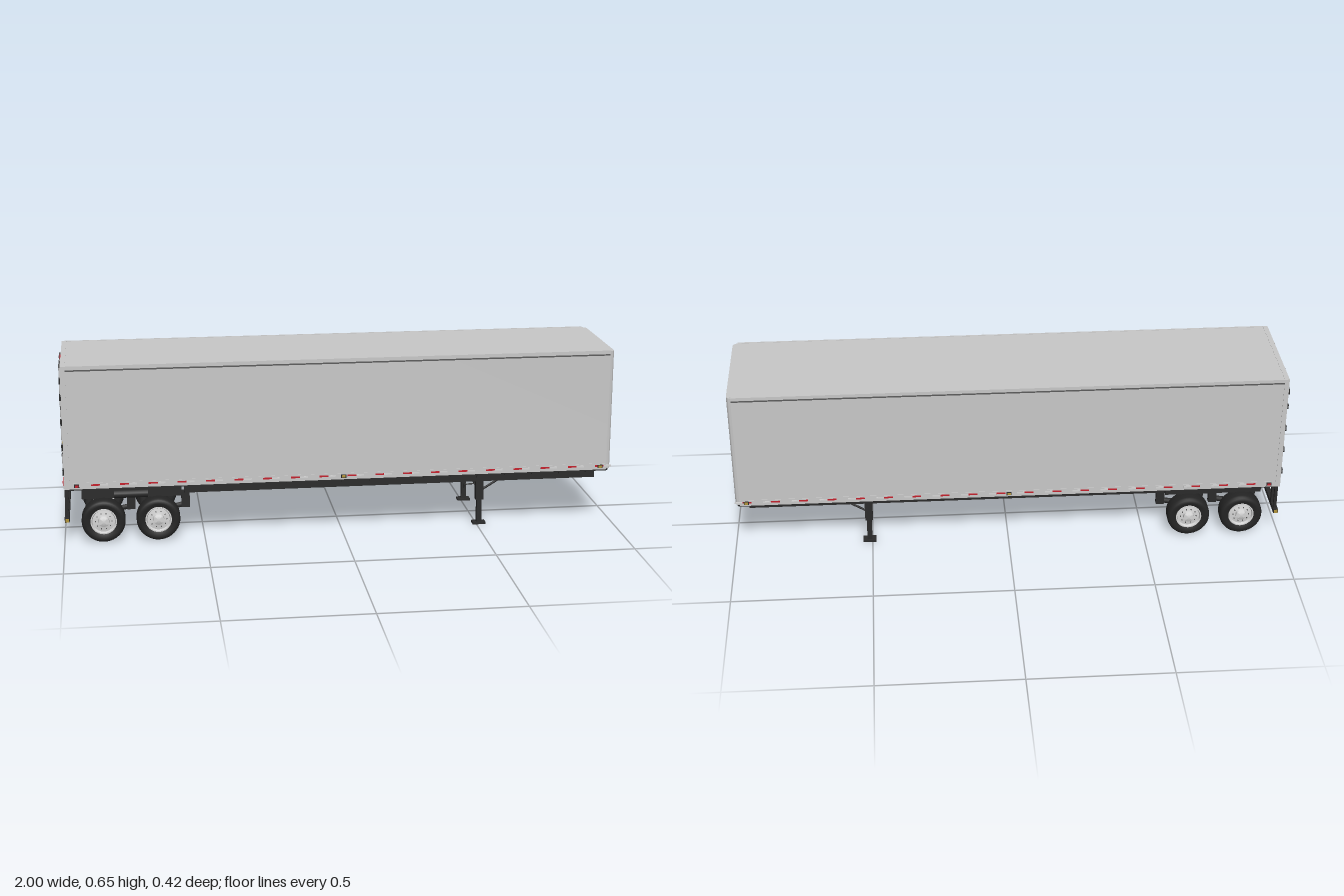
import * as THREE from 'three';
import { toCreasedNormals } from 'three/addons/utils/BufferGeometryUtils.js';

const material = (name, color) => {
  const m = new THREE.MeshStandardMaterial({ color });
  m.name = name;
  return m;
};

export function createModel() {
  const shell = material('light grey panel', 0xc8c8c8);
  const seam = material('dark grey seam', 0x5c5c5c);
  const steel = material('black steel', 0x2b2b2b);
  const rubber = material('tyre rubber', 0x242424);
  const alloy = material('bright alloy', 0xd6d6d6);
  const red = material('red reflector', 0xc4202c);
  const amber = material('amber marker', 0xb0933a);

  const model = new THREE.Group();
  model.name = 'boxTrailer';

  const group = (name, parent = model) => {
    const g = new THREE.Group();
    g.name = name;
    parent.add(g);
    return g;
  };
  const add = (parent, name, geometry, mat) => {
    const mesh = new THREE.Mesh(geometry, mat);
    mesh.name = name;
    parent.add(mesh);
    return mesh;
  };
  // Box given by its limits on each axis
  const box = (parent, name, mat, x0, x1, y0, y1, z0, z1) => {
    const mesh = add(parent, name, new THREE.BoxGeometry(x1 - x0, y1 - y0, z1 - z0), mat);
    mesh.position.set((x0 + x1) / 2, (y0 + y1) / 2, (z0 + z1) / 2);
    return mesh;
  };
  // Box mirrored to both sides, with z0 < z1 on the +z side
  const pair = (parent, name, mat, x0, x1, y0, y1, z0, z1) => {
    box(parent, name, mat, x0, x1, y0, y1, z0, z1);
    box(parent, name, mat, x0, x1, y0, y1, -z1, -z0);
  };
  // Round bar between two points
  const bar = (parent, name, mat, a, b, r, sides = 10) => {
    const from = new THREE.Vector3(...a), to = new THREE.Vector3(...b);
    const dir = to.clone().sub(from);
    const mesh = add(parent, name, new THREE.CylinderGeometry(r, r, dir.length(), sides), mat);
    mesh.position.copy(from).add(to).multiplyScalar(0.5);
    mesh.quaternion.setFromUnitVectors(new THREE.Vector3(0, 1, 0), dir.normalize());
    return mesh;
  };

  // Cargo box: plan outline with rounded nose corners, extruded upwards
  const cargo = group('cargoBox');
  const slab = (name, mat, x0, x1, w, r, y0, y1) => {
    const s = new THREE.Shape();
    s.moveTo(x0, -w);
    s.lineTo(x1 - r, -w);
    s.absarc(x1 - r, -w + r, r, -Math.PI / 2, 0, false);
    s.lineTo(x1, w - r);
    s.absarc(x1 - r, w - r, r, 0, Math.PI / 2, false);
    s.lineTo(x0, w);
    s.closePath();
    const g = new THREE.ExtrudeGeometry(s, { depth: y1 - y0, bevelEnabled: false, curveSegments: 8 });
    g.rotateX(-Math.PI / 2).translate(0, y0, 0);
    return add(cargo, name, toCreasedNormals(g, 0.6), mat);
  };
  slab('walls', shell, -0.985, 0.985, 0.204, 0.018, 0.212, 0.652);
  slab('floorUnderside', steel, -0.98, 0.98, 0.2, 0.016, 0.203, 0.212);
  pair(cargo, 'topRail', shell, -0.985, 0.968, 0.643, 0.655, 0.2, 0.207);
  pair(cargo, 'topRailSeam', seam, -0.98, 0.968, 0.636, 0.641, 0.203, 0.2055);
  pair(cargo, 'bottomRail', shell, -0.985, 0.968, 0.209, 0.232, 0.2, 0.2055);
  box(cargo, 'roof', shell, -0.985, 0.972, 0.65, 0.654, -0.2, 0.2);

  // Reflective tape and side marker lamps
  const markers = group('sideMarkers');
  for (let i = 0; i < 19; i++) {
    const x = -0.9 + i * 0.1015;
    pair(markers, 'redTape', red, x, x + 0.032, 0.22, 0.226, 0.205, 0.2065);
    pair(markers, 'paleTape', alloy, x + 0.032, x + 0.06, 0.22, 0.226, 0.205, 0.2065);
  }
  for (const [x, mat] of [[-0.95, red], [0, amber], [0.945, amber]]) {
    pair(markers, 'lampBase', steel, x - 0.009, x + 0.009, 0.215, 0.227, 0.204, 0.208);
    pair(markers, 'markerLamp', mat, x - 0.006, x + 0.006, 0.217, 0.225, 0.206, 0.211);
  }

  // Nose connections
  const nose = group('noseConnections');
  box(nose, 'connectorPlate', steel, 0.984, 0.991, 0.273, 0.32, -0.028, 0.028);
  box(nose, 'connectorBox', steel, 0.984, 1.0, 0.28, 0.325, -0.02, 0.02);
  box(nose, 'airSocket', steel, 0.984, 0.996, 0.258, 0.275, -0.009, 0.009);
  box(nose, 'amberCoupling', amber, 0.984, 0.994, 0.255, 0.265, 0.031, 0.049);
  box(nose, 'redCoupling', red, 0.984, 0.994, 0.255, 0.265, -0.049, -0.031);

  // Rear frame and swing doors
  const rear = group('rearDoors');
  pair(rear, 'cornerPost', shell, -0.992, -0.975, 0.209, 0.655, 0.188, 0.206);
  box(rear, 'header', shell, -0.992, -0.975, 0.632, 0.655, -0.19, 0.19);
  box(rear, 'headerSeam', seam, -0.9935, -0.985, 0.628, 0.632, -0.188, 0.188);
  box(rear, 'sill', shell, -0.996, -0.975, 0.207, 0.238, -0.19, 0.19);
  box(rear, 'doorSeam', seam, -0.9935, -0.985, 0.24, 0.63, -0.004, 0.004);
  pair(rear, 'door', shell, -0.994, -0.98, 0.24, 0.628, 0.003, 0.186);
  for (const z of [0.035, 0.095]) {
    for (const s of [-1, 1]) {
      bar(rear, 'lockRod', shell, [-0.997, 0.232, s * z], [-0.997, 0.638, s * z], 0.003, 8);
      bar(rear, 'lockHandle', seam, [-0.998, 0.315, s * z], [-0.998, 0.315, s * (z + 0.045)], 0.002, 6);
    }
    for (const y of [0.236, 0.33, 0.48, 0.632])
      pair(rear, 'rodBracket', seam, -1, -0.99, y - 0.006, y + 0.006, z - 0.007, z + 0.007);
  }
  for (const y of [0.27, 0.36, 0.45, 0.54, 0.6])
    pair(rear, 'hinge', steel, -0.998, -0.99, y - 0.009, y + 0.009, 0.17, 0.2);
  box(rear, 'warningPlate', amber, -0.9965, -0.993, 0.335, 0.372, 0.04, 0.14);
  for (const z of [0.125, 0.16])
    pair(rear, 'tailLamp', red, -0.999, -0.99, 0.214, 0.228, z - 0.012, z + 0.012);
  for (const z of [-0.02, 0, 0.02])
    box(rear, 'headerLamp', red, -0.996, -0.99, 0.64, 0.646, z - 0.005, z + 0.005);

  // Underrun bumper
  const bumper = group('rearBumper');
  box(bumper, 'bumperBar', steel, -0.997, -0.98, 0.082, 0.098, -0.19, 0.19);
  pair(bumper, 'innerPost', steel, -0.995, -0.98, 0.09, 0.21, 0.125, 0.14);
  pair(bumper, 'outerPost', steel, -0.993, -0.982, 0.09, 0.21, 0.165, 0.176);
  pair(bumper, 'endReflector', amber, -0.995, -0.982, 0.084, 0.096, 0.19, 0.193);

  // Chassis
  const chassis = group('chassis');
  pair(chassis, 'mainRail', steel, -0.57, 0.94, 0.165, 0.205, 0.13, 0.152);
  pair(chassis, 'lightBracket', shell, 0.4, 0.46, 0.194, 0.21, 0.152, 0.168);
  for (let x = -0.5; x < 0.95; x += 0.1)
    box(chassis, 'crossMember', steel, x - 0.006, x + 0.006, 0.198, 0.205, -0.198, 0.198);
  box(chassis, 'couplerPlate', steel, 0.68, 0.95, 0.199, 0.205, -0.13, 0.13);
  bar(chassis, 'kingpin', steel, [0.82, 0.186, 0], [0.82, 0.202, 0], 0.0065, 14);

  // Landing gear
  const gear = group('landingGear');
  for (const s of [-1, 1]) {
    const z = s * 0.144;
    box(gear, 'outerLeg', steel, 0.496, 0.524, 0.095, 0.205, z - 0.012, z + 0.012);
    box(gear, 'innerLeg', steel, 0.501, 0.519, 0.008, 0.1, z - 0.009, z + 0.009);
    box(gear, 'foot', steel, 0.486, 0.534, 0.002, 0.009, z - 0.017, z + 0.017);
    bar(gear, 'lengthBrace', steel, [0.515, 0.128, z], [0.63, 0.198, z], 0.004);
    bar(gear, 'crossBrace', steel, [0.51, 0.13, s * 0.14], [0.51, 0.203, s * 0.088], 0.004);
  }
  bar(gear, 'crossTube', steel, [0.51, 0.132, -0.14], [0.51, 0.132, 0.14], 0.0045);
  bar(gear, 'crankShaft', steel, [0.49, 0.168, -0.14], [0.49, 0.168, 0.16], 0.002, 8);
  bar(gear, 'crankArm', steel, [0.49, 0.16, 0.16], [0.45, 0.158, 0.16], 0.0025, 8);
  bar(gear, 'crankGrip', steel, [0.45, 0.145, 0.16], [0.45, 0.162, 0.16], 0.003, 8);

  // Sliding bogie
  const bogie = group('bogie');
  pair(bogie, 'bogieRail', steel, -0.935, -0.58, 0.155, 0.206, 0.125, 0.152);
  for (const x of [-0.925, -0.765, -0.6])
    box(bogie, 'bogieCrossMember', steel, x - 0.01, x + 0.01, 0.165, 0.17, -0.13, 0.13);
  bar(bogie, 'airTank', steel, [-0.82, 0.17, 0.155], [-0.7, 0.17, 0.155], 0.014, 14);

  // Wheel profiles: radius against width, centred on the wheel
  const pts = list => list.map(([r, w]) => new THREE.Vector2(r, w));
  const tyre = toCreasedNormals(new THREE.LatheGeometry(pts([
    [0.046, -0.026], [0.06, -0.032], [0.071, -0.031], [0.076, -0.026], [0.078, -0.018],
    [0.078, 0.018], [0.076, 0.026], [0.071, 0.031], [0.06, 0.032], [0.046, 0.026], [0.046, -0.026],
  ]), 40).rotateX(Math.PI / 2), 0.7);
  const rim = toCreasedNormals(new THREE.LatheGeometry(pts([
    [0.0, -0.01], [0.047, -0.012], [0.047, 0.029], [0.043, 0.029], [0.04, 0.02],
    [0.024, 0.022], [0.02, 0.023], [0.019, 0.032], [0.014, 0.035], [0, 0.035],
  ]), 36).rotateX(Math.PI / 2), 0.6);
  const bolt = new THREE.CylinderGeometry(0.002, 0.002, 0.006, 6).rotateX(Math.PI / 2);

  for (const x of [-0.86, -0.665]) {
    const axle = group('axle', bogie);
    bar(axle, 'axleTube', steel, [x, 0.082, -0.14], [x, 0.082, 0.14], 0.0125, 16);
    for (const s of [-1, 1]) {
      const wheel = group('wheel', axle);
      wheel.position.set(x, 0.08, s * 0.161);
      if (s < 0) wheel.rotation.y = Math.PI;
      add(wheel, 'tyre', tyre, rubber);
      add(wheel, 'rim', rim, alloy);
      for (let i = 0; i < 10; i++) {
        const a = i / 10 * Math.PI * 2;
        add(wheel, 'wheelBolt', bolt, seam)
          .position.set(Math.cos(a) * 0.029, Math.sin(a) * 0.029, 0.023);
      }
      bar(axle, 'brakeDrum', steel, [x, 0.08, s * 0.116], [x, 0.08, s * 0.155], 0.034, 20);
      // Trailing arm, hanger and air spring
      bar(axle, 'trailingArm', steel, [x, 0.09, s * 0.11], [x + 0.1, 0.115, s * 0.12], 0.01, 8);
      box(axle, 'hanger', steel, x + 0.085, x + 0.115, 0.105, 0.165, s * 0.125 - 0.01, s * 0.125 + 0.01);
      bar(axle, 'airSpring', steel, [x - 0.05, 0.108, s * 0.107], [x - 0.05, 0.16, s * 0.107], 0.014, 16);
      bar(axle, 'springSeat', steel, [x, 0.09, s * 0.107], [x - 0.055, 0.106, s * 0.107], 0.008, 8);
    }
  }

  return model;
}
